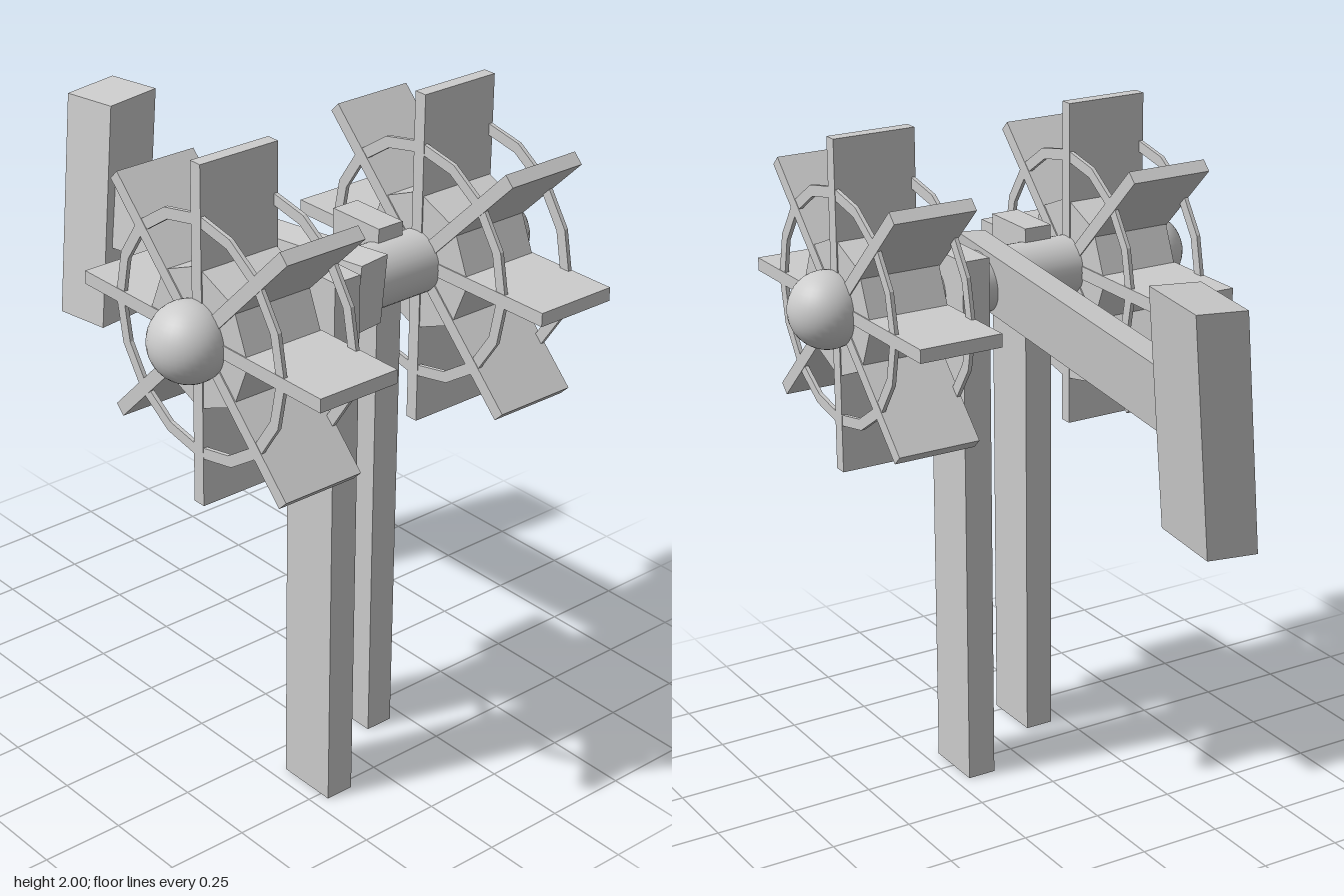
import * as THREE from 'three';

export function createModel() {
  const model = new THREE.Group();
  model.name = 'twinWheelMill';
  const flat = new THREE.MeshStandardMaterial({ color: 0xcccccc, flatShading: true });
  const smooth = new THREE.MeshStandardMaterial({ color: 0xcccccc });

  const add = (parent, name, geometry, material = flat) => {
    const mesh = new THREE.Mesh(geometry, material);
    mesh.name = name;
    parent.add(mesh);
    return mesh;
  };
  // Box whose three full edges are the given vectors, so it may lean
  const leaningBox = (centre, u, v, w) => {
    const basis = new THREE.Matrix4().makeBasis(
      new THREE.Vector3(...u), new THREE.Vector3(...v), new THREE.Vector3(...w));
    return new THREE.BoxGeometry(1, 1, 1).applyMatrix4(basis.setPosition(...centre));
  };

  const axisX = 0.342, axisY = 1.506;

  // Two upright posts, one on each side of the axle's centre line
  for (const side of [1, -1]) {
    const post = add(model, side > 0 ? 'frontPost' : 'backPost', new THREE.BoxGeometry(0.19, 1.64, 0.088));
    post.position.set(axisX + side * 0.095, 0.82, side * 0.161);
  }

  // Axle with rounded end caps
  const axle = add(model, 'axle', new THREE.CylinderGeometry(0.092, 0.092, 1.06, 32).rotateX(Math.PI / 2), smooth);
  axle.position.set(axisX, axisY, 0);

  // Paddle wheels
  const ringProfile = [[0.322, -0.006], [0.355, -0.006], [0.355, 0.006], [0.322, 0.006], [0.322, -0.006]]
    .map(([x, y]) => new THREE.Vector2(x, y));
  for (const side of [1, -1]) {
    const wheel = new THREE.Group();
    wheel.name = side > 0 ? 'frontWheel' : 'backWheel';
    wheel.position.set(axisX, axisY, side * 0.386);
    model.add(wheel);

    add(wheel, 'hub', new THREE.CylinderGeometry(0.207, 0.207, 0.25, 8).rotateX(Math.PI / 2));
    // Each pair of opposite paddles is one board through the hub
    for (let i = 0; i < 4; i++) {
      add(wheel, 'paddles', new THREE.BoxGeometry(0.99, 0.04, 0.257)).rotation.z = i * Math.PI / 4;
    }
    for (const z of [-0.121, 0.121]) {
      add(wheel, 'rim', new THREE.LatheGeometry(ringProfile, 16).rotateX(Math.PI / 2)).position.z = z;
    }
    add(wheel, 'axleCap', new THREE.SphereGeometry(0.114, 32, 20), smooth).position.z = side * 0.155;
  }

  // Tail arm and vane, both leaning a little
  add(model, 'tailArm', leaningBox([-0.085, 1.466, 0.017], [1.09, 0.117, -0.01], [0, 0.197, -0.02], [0, -0.009, 0.092]));
  add(model, 'tailVane', leaningBox([-0.734, 1.4, 0.012], [0.212, 0.021, -0.002], [-0.01, 0.696, -0.06], [0, -0.016, 0.165]));

  return model;
}
